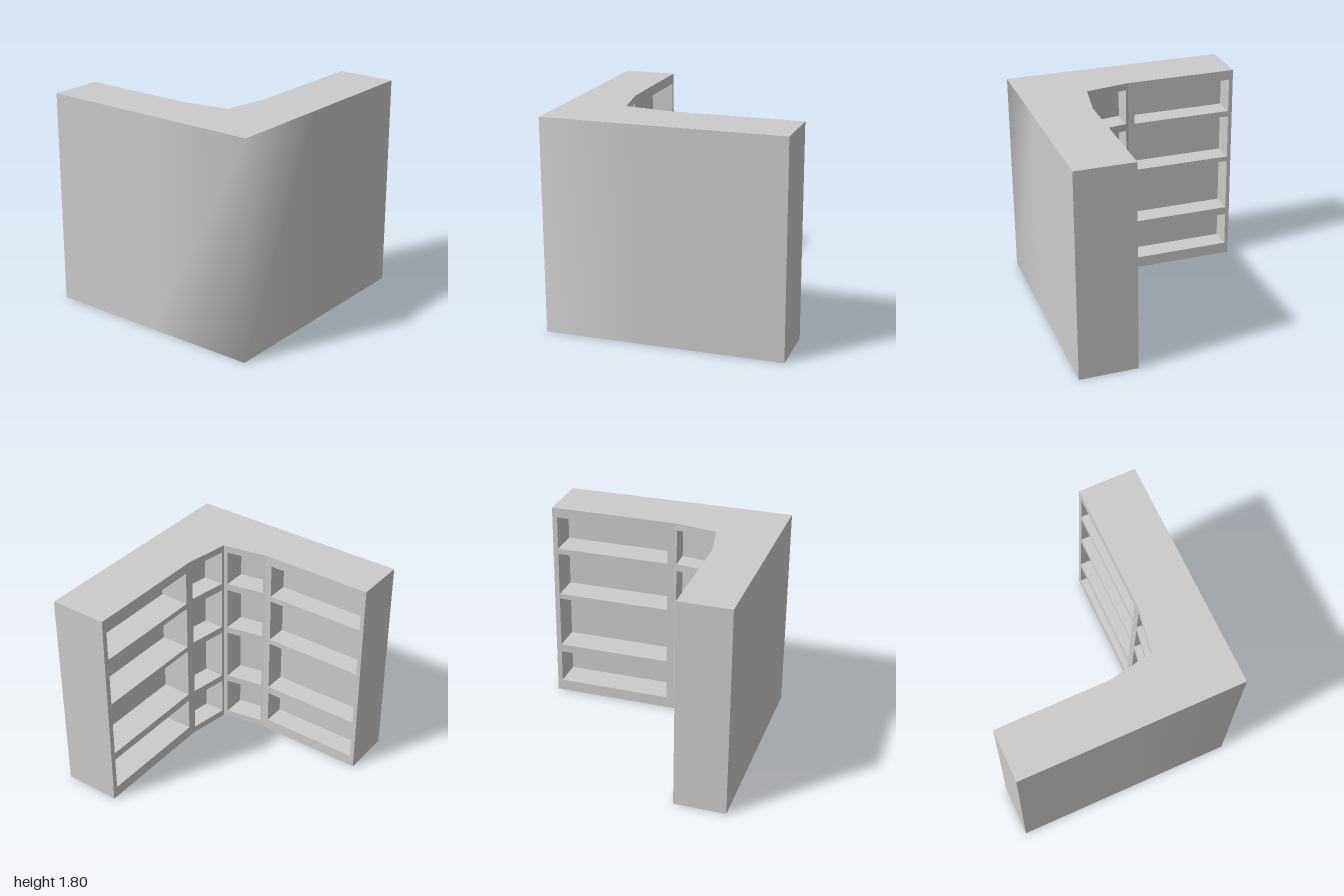
import * as THREE from 'three';

const H = 1.8;
const material = new THREE.MeshStandardMaterial({ color: 0xcccccc });

// Plan points as [x, z]; the shelf face runs end to end with its front on the right-hand side
const face = [[0.46, -1], [0.46, 0.11], [0.395, 0.49], [0.01, 0.56], [-0.955, 0.56]];
const outer = [[-0.955, 1], [0.01, 1], [0.955, 1], [0.955, 0.11], [0.955, -1]];

// Opening heights [bottom, top] for the wide and the narrow bays
const wideRows = [[0.1, 0.4], [0.47, 0.935], [0.98, 1.37], [1.42, 1.715]];
const narrowRows = [[0.06, 0.4], [0.46, 0.925], [0.985, 1.365], [1.43, 1.74]];

// Each bay: opening limits along its face (0..1), depth direction [x, z], rows
const bays = [
  { name: 'sideWideBay', from: 0.04, to: 0.946, depth: [0.26, 0], rows: wideRows },
  { name: 'sideNarrowBay', from: 0.055, to: 0.94, depth: [0.18, 0], rows: narrowRows },
  { name: 'longNarrowBay', from: 0.09, to: 0.942, depth: [0, 0.2], rows: narrowRows },
  { name: 'longWideBay', from: 0.058, to: 0.964, depth: [0, 0.19], rows: wideRows },
];

function mesh(name, geometry) {
  const m = new THREE.Mesh(geometry, material);
  m.name = name;
  return m;
}

// Places (along, height, inward) coordinates on the wall from a to b
function mapToWall(geometry, a, b, depth = [0, 0]) {
  const p = geometry.attributes.position;
  for (let i = 0; i < p.count; i++) {
    const u = p.getX(i), w = p.getZ(i);
    p.setXYZ(i,
      a[0] + (b[0] - a[0]) * u + depth[0] * w,
      p.getY(i),
      a[1] + (b[1] - a[1]) * u + depth[1] * w);
  }
  const flat = geometry.toNonIndexed();
  flat.computeVertexNormals();
  return flat;
}

function rectangle(path, u0, u1, y0, y1) {
  path.moveTo(u0, y0);
  path.lineTo(u1, y0);
  path.lineTo(u1, y1);
  path.lineTo(u0, y1);
  path.closePath();
  return path;
}

// Flat upright panel with optional openings
function panel(a, b, bay) {
  const shape = rectangle(new THREE.Shape(), 0, 1, 0, H);
  if (bay) {
    for (const [y0, y1] of bay.rows) {
      shape.holes.push(rectangle(new THREE.Path(), bay.from, bay.to, y0, y1));
    }
  }
  return mapToWall(new THREE.ShapeGeometry(shape), a, b);
}

// Recess lining: a box without its front; the mapping turns its faces inward
function recess(a, b, bay, y0, y1) {
  const box = new THREE.BoxGeometry(bay.to - bay.from, y1 - y0, 1);
  box.translate((bay.from + bay.to) / 2, (y0 + y1) / 2, 0.5);
  box.setIndex(Array.from(box.index.array).slice(0, 30));
  return mapToWall(box, a, b, bay.depth);
}

// Outer wall as one strip, softly shaded around the corner
function outerWall() {
  const strip = new THREE.PlaneGeometry(1, 1, outer.length - 1, 1);
  const p = strip.attributes.position;
  for (let i = 0; i < p.count; i++) {
    const [x, z] = outer[i % outer.length];
    p.setXYZ(i, x, i < outer.length ? H : 0, z);
  }
  strip.computeVertexNormals();
  return strip;
}

// Top or bottom plate of the corner-shaped plan
function plate(sign) {
  const points = [...outer, ...face].map(([x, z]) => new THREE.Vector2(x, -sign * z));
  const g = new THREE.ShapeGeometry(new THREE.Shape(points));
  g.rotateX(-sign * Math.PI / 2);
  return g.translate(0, sign > 0 ? H : 0, 0);
}

export function createModel() {
  const model = new THREE.Group();
  model.name = 'cornerBookcase';

  // Carcass
  model.add(
    mesh('outerWall', outerWall()),
    mesh('topPlate', plate(1)),
    mesh('bottomPlate', plate(-1)),
    mesh('sideEndPanel', panel(outer[4], face[0])),
    mesh('longEndPanel', panel(face[4], outer[0])),
  );

  // Bays with their front frame and four recessed shelves
  bays.forEach((bay, i) => {
    const a = face[i], b = face[i + 1];
    const group = new THREE.Group();
    group.name = bay.name;
    group.add(mesh('frontFrame', panel(a, b, bay)));
    for (const [y0, y1] of bay.rows) {
      group.add(mesh('shelfRecess', recess(a, b, bay, y0, y1)));
    }
    model.add(group);
  });
  return model;
}
